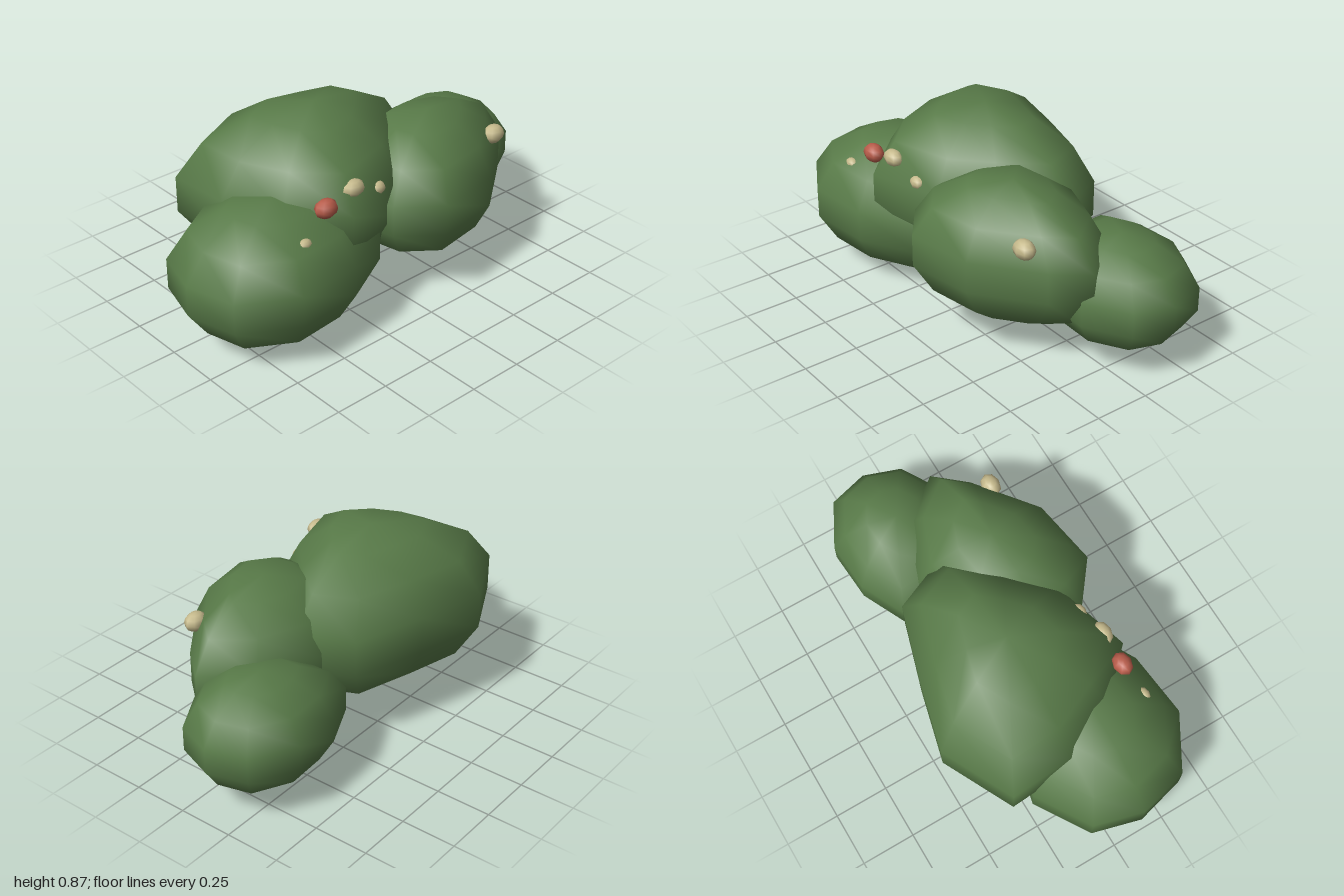
import * as THREE from 'three';

const foliage = new THREE.MeshStandardMaterial({ name: 'leaf green', color: 0x587a48 });
const cream = new THREE.MeshStandardMaterial({ name: 'cream blossom', color: 0xc6ba8c });
const red = new THREE.MeshStandardMaterial({ name: 'red blossom', color: 0xb85c4a });

const ROWS = 7;

// Rounded lump: a plan outline (counter-clockwise from above) swept along a circular profile
function lump(name, [cx, cy, cz], ry, plan) {
  const n = plan.length;
  const pos = [cx, cy + ry, cz];
  const index = [];
  const widest = Math.sin((Math.PI * 3) / ROWS);
  for (let j = 1; j < ROWS; j++) {
    const a = (Math.PI * j) / ROWS;
    const s = Math.sin(a) / widest;
    for (const [x, z] of plan) pos.push(cx + (x - cx) * s, cy + ry * Math.cos(a), cz + (z - cz) * s);
  }
  pos.push(cx, cy - ry, cz);
  const last = pos.length / 3 - 1;
  const id = (j, i) => 1 + j * n + (i % n);
  for (let i = 0; i < n; i++) {
    index.push(0, id(0, i), id(0, i + 1));
    for (let j = 0; j < ROWS - 2; j++) {
      index.push(id(j, i), id(j + 1, i), id(j + 1, i + 1));
      index.push(id(j, i), id(j + 1, i + 1), id(j, i + 1));
    }
    index.push(id(ROWS - 2, i), last, id(ROWS - 2, i + 1));
  }
  const geo = new THREE.BufferGeometry();
  geo.setAttribute('position', new THREE.Float32BufferAttribute(pos, 3));
  geo.setIndex(index);
  geo.computeVertexNormals();
  const mesh = new THREE.Mesh(geo, foliage);
  mesh.name = name;
  return mesh;
}

// Small squashed blossom
function blossom(name, material, position, rx, ry) {
  const mesh = new THREE.Mesh(new THREE.SphereGeometry(1, 8, 6), material);
  mesh.name = name;
  mesh.position.set(...position);
  mesh.scale.set(rx, ry, ry);
  return mesh;
}

export function createModel() {
  const bush = new THREE.Group();
  bush.name = 'bush';

  // Foliage lumps
  bush.add(
    lump('rightFoliage', [-0.55, 0.315, 0.12], 0.315, [
      [-1, 0.12], [-0.94, 0.35], [-0.7, 0.49], [-0.4, 0.46], [-0.14, 0.32],
      [-0.09, 0.08], [-0.28, -0.15], [-0.7, -0.25], [-0.94, -0.1],
    ]),
    lump('backFoliage', [-0.17, 0.49, -0.07], 0.375, [
      [-0.7, -0.35], [-0.68, -0.06], [-0.56, 0.2], [-0.36, 0.4], [-0.02, 0.3],
      [0.18, 0.12], [0.37, -0.1], [0.27, -0.33], [-0.06, -0.43], [-0.38, -0.51],
    ]),
    lump('frontFoliage', [0.3, 0.43, 0.14], 0.32, [
      [-0.14, 0.16], [-0.1, 0.36], [0.08, 0.5], [0.39, 0.45], [0.66, 0.24],
      [0.78, 0.1], [0.63, -0.1], [0.36, -0.2], [0, -0.15],
    ]),
    lump('leftFoliage', [0.66, 0.315, -0.14], 0.25, [
      [0.31, -0.31], [0.32, 0], [0.5, 0.13], [0.75, 0.14], [0.94, 0.03],
      [1, -0.14], [0.95, -0.32], [0.75, -0.425], [0.52, -0.41],
    ]),
  );

  // Blossoms
  bush.add(blossom('redBlossom', red, [-0.45, 0.625, 0.335], 0.055, 0.042));
  [
    [[-0.3, 0.66, 0.33], 0.055, 0.038],
    [[-0.59, 0.525, 0.365], 0.036, 0.025],
    [[-0.15, 0.595, 0.31], 0.04, 0.03],
    [[0.565, 0.59, 0.29], 0.056, 0.043],
  ].forEach(([p, rx, ry], i) => bush.add(blossom(`creamBlossom${i + 1}`, cream, p, rx, ry)));

  return bush;
}
